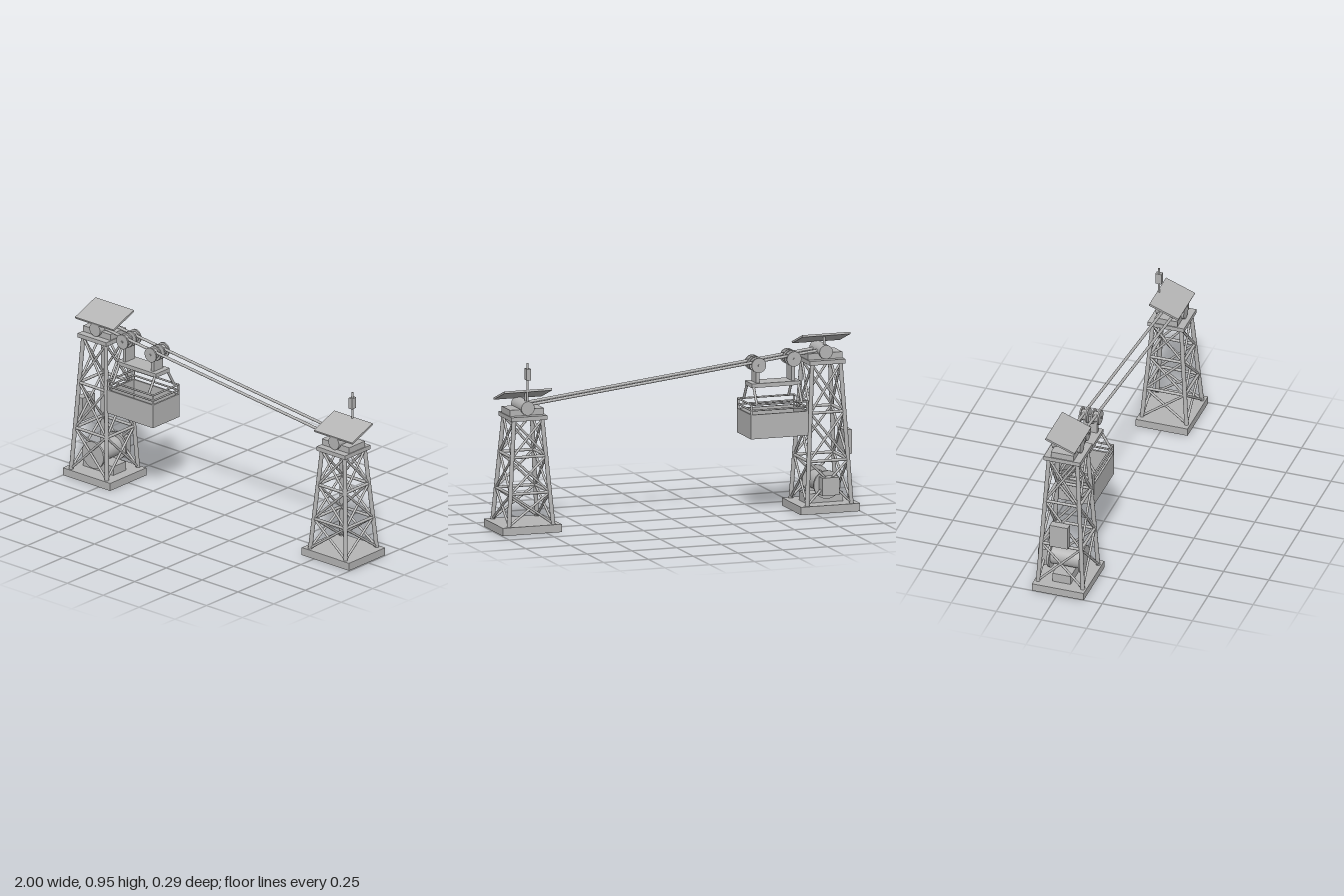
import * as THREE from 'three';

const steel = new THREE.MeshStandardMaterial({ color: 0xb5b5b5 });
steel.name = 'grey steel';

const V = (x, y, z) => new THREE.Vector3(x, y, z);

function add(parent, name, geometry, x = 0, y = 0, z = 0) {
  const mesh = new THREE.Mesh(geometry, steel);
  mesh.name = name;
  mesh.position.set(x, y, z);
  parent.add(mesh);
  return mesh;
}

const box = (parent, name, w, h, d, x, y, z) =>
  add(parent, name, new THREE.BoxGeometry(w, h, d), x, y, z);

// Round bar between two points
function bar(parent, name, a, b, r, sides = 12) {
  const dir = b.clone().sub(a);
  const mesh = add(parent, name, new THREE.CylinderGeometry(r, r, dir.length(), sides));
  mesh.position.copy(a).add(b).multiplyScalar(0.5);
  mesh.quaternion.setFromUnitVectors(V(0, 1, 0), dir.normalize());
  return mesh;
}

// Disc or drum lying along z
function drum(parent, name, r, length, x, y, z, sides = 32) {
  const mesh = add(parent, name, new THREE.CylinderGeometry(r, r, length, sides), x, y, z);
  mesh.rotation.x = Math.PI / 2;
  return mesh;
}

function tower(name, x, top) {
  const g = new THREE.Group();
  g.name = name;
  g.position.x = x;
  box(g, 'foundation', 0.33, 0.042, 0.287, 0, 0.021, 0);

  // Tapered lattice: four legs, level rings and crossed braces
  const start = 0.02;
  const corner = (i, y) => {
    const h = THREE.MathUtils.lerp(0.125, 0.079, (y - start) / (top - start));
    return V([1, 1, -1, -1][i % 4] * h, y, [1, -1, -1, 1][i % 4] * h);
  };
  const levels = [0, 1, 2, 3].map(k => start + (top - start) * k / 3);
  for (let i = 0; i < 4; i++) {
    bar(g, 'leg', corner(i, start), corner(i, top), 0.0115);
    for (let k = 0; k < 3; k++) {
      const lo = k ? levels[k] : 0.045, hi = levels[k + 1];
      if (k) bar(g, 'levelBeam', corner(i, lo), corner(i + 1, lo), 0.008);
      bar(g, 'crossBrace', corner(i, lo), corner(i + 1, hi), 0.0065);
      bar(g, 'crossBrace', corner(i + 1, lo), corner(i, hi), 0.0065);
    }
  }

  // Head: platform, bearing block, rope roller and tilted roof panel
  box(g, 'platform', 0.2, 0.023, 0.202, 0, top + 0.0115, 0);
  box(g, 'bearingBlock', 0.19, 0.034, 0.125, 0, top + 0.039, 0);
  drum(g, 'ropeRoller', 0.037, 0.156, 0, top + 0.062, 0);
  bar(g, 'roofPost', V(0, top + 0.02, -0.047), V(0, top + 0.14, -0.047), 0.0075);
  box(g, 'roofPanel', 0.267, 0.011, 0.173, 0, top + 0.126, 0).rotation.x = 0.365;
  return g;
}

// Winch in the foot of the upper tower
function winch(g) {
  box(g, 'winchBed', 0.21, 0.05, 0.1, 0, 0.066, 0);
  drum(g, 'winchDrum', 0.052, 0.18, 0, 0.143, 0);
  for (const s of [-1, 1]) drum(g, 'drumFlange', 0.075, 0.012, 0, 0.143, s * 0.088);
  box(g, 'winchMotor', 0.095, 0.095, 0.062, 0, 0.143, -0.12);
  box(g, 'controlBox', 0.042, 0.13, 0.1, -0.132, 0.355, 0);
}

// Signal mast on the lower tower
function mast(g) {
  bar(g, 'signalMast', V(0, 0.61, -0.071), V(0, 0.9, -0.071), 0.006);
  box(g, 'signalBox', 0.024, 0.06, 0.033, 0, 0.84, -0.071);
}

function carriage() {
  const g = new THREE.Group();
  g.name = 'carriage';
  g.position.x = -0.565;
  box(g, 'carriageDeck', 0.272, 0.022, 0.11, 0, 0.689, 0);

  // Trolley wheels on both ropes
  for (const [x, y] of [[-0.1, 0.817], [0.097, 0.796]]) {
    box(g, 'wheelBracket', 0.018, y - 0.695, 0.075, x, (y + 0.695) / 2, 0);
    drum(g, 'axle', 0.006, 0.12, x, y, 0, 12);
    for (const z of [-0.033, 0.033]) {
      drum(g, 'wheelHub', 0.028, 0.034, x, y, z);
      for (const s of [-1, 1]) drum(g, 'wheelFlange', 0.04, 0.008, x, y, z + s * 0.018);
    }
  }

  // Open basket with hangers and two rows of railing
  const w = 0.16, d = 0.105, t = 0.01;
  box(g, 'basketFloor', 2 * w, t, 2 * d, 0, 0.42, 0);
  for (const s of [-1, 1]) {
    box(g, 'basketSide', 2 * w, 0.13, t, 0, 0.48, s * (d - t / 2));
    box(g, 'basketEnd', t, 0.13, 2 * d - 2 * t, s * (w - t / 2), 0.48, 0);
    for (const y of [0.567, 0.597]) {
      bar(g, 'longRail', V(-w, y, s * (d - 0.005)), V(w, y, s * (d - 0.005)), 0.005);
      bar(g, 'endRail', V(s * (w - 0.005), y, -d), V(s * (w - 0.005), y, d), 0.005);
    }
    for (const e of [-1, 1]) {
      bar(g, 'railPost', V(e * (w - 0.005), 0.54, s * (d - 0.005)),
        V(e * (w - 0.005), 0.6, s * (d - 0.005)), 0.006);
      bar(g, 'hanger', V(e * 0.125, 0.685, s * 0.048), V(e * 0.125, 0.595, s * 0.1), 0.007);
    }
  }
  return g;
}

export function createModel() {
  const model = new THREE.Group();
  model.name = 'ropeway';
  const body = new THREE.Group();
  body.name = 'ropewayBody';
  body.position.z = 0.004;
  model.add(body);

  const upper = tower('upperTower', -0.835, 0.785);
  winch(upper);
  const lower = tower('lowerTower', 0.83, 0.596);
  mast(lower);
  body.add(upper, lower, carriage());

  // Pair of carrying ropes
  for (const z of [-0.033, 0.033])
    bar(body, 'carryingRope', V(-0.835, 0.854, z), V(0.83, 0.666, z), 0.0078, 16);
  return model;
}
